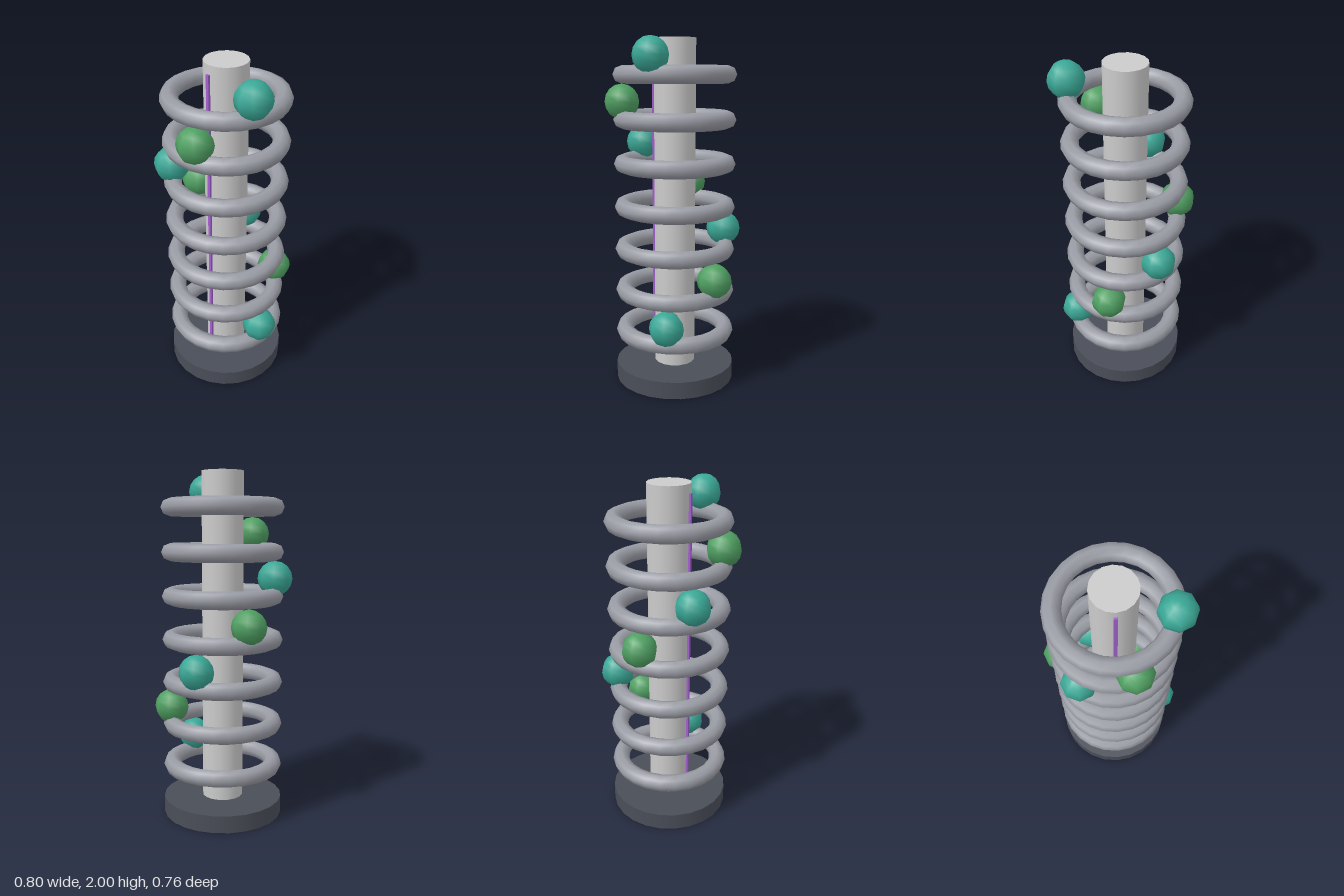
import * as THREE from 'three';

const paint = (color) => new THREE.MeshStandardMaterial({ color });

export function createModel() {
  const model = new THREE.Group();
  const tower = new THREE.Group();
  tower.name = 'tower';
  tower.position.set(-0.0015, 0, -0.0075); // centres the overall bounds
  model.add(tower);

  const add = (name, geometry, material, x, y, z) => {
    const mesh = new THREE.Mesh(geometry, material);
    mesh.name = name;
    mesh.position.set(x, y, z);
    tower.add(mesh);
    return mesh;
  };

  // Base disc and central column
  add('base', new THREE.CylinderGeometry(0.35, 0.35, 0.1, 24), paint(0x4a4e58), 0, 0.05, 0);
  add('column', new THREE.CylinderGeometry(0.12, 0.12, 1.9, 16), paint(0xcccccc), 0, 1.05, 0);

  // Thin strip along the front of the column
  add('strip', new THREE.BoxGeometry(0.02, 1.8, 0.02), paint(0xa35fd0), 0, 1.05, 0.12);

  // Stacked rings, with balls climbing round them one radian per step
  const ringGeometry = new THREE.TorusGeometry(0.3, 0.05, 8, 24).rotateX(Math.PI / 2);
  const ballGeometry = new THREE.SphereGeometry(0.1, 8, 8);
  const ringPaint = paint(0x9a9ca5);
  const ballPaints = [paint(0x3aa796), paint(0x4f9f62)];
  for (let i = 0; i < 7; i++) {
    add('ring' + (i + 1), ringGeometry, ringPaint, 0, 0.3 + 0.25 * i, 0);
    add('ball' + (i + 1), ballGeometry, ballPaints[i % 2],
      0.3 * Math.cos(i), 0.4 + 0.25 * i, -0.3 * Math.sin(i));
  }

  return model;
}
